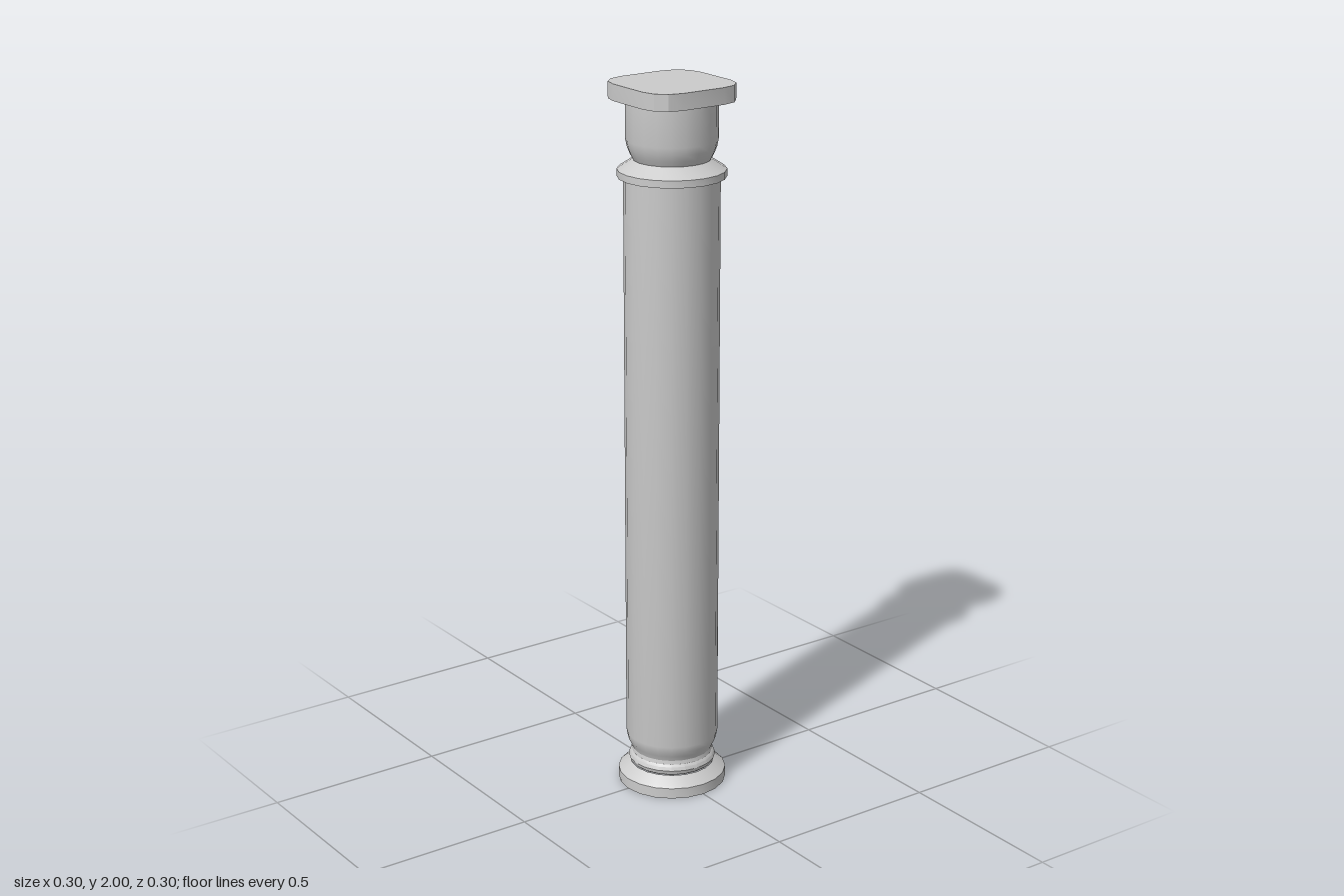
import * as THREE from 'three';
import { toCreasedNormals } from 'three/addons/utils/BufferGeometryUtils.js';

const SIDES = 20;
const material = new THREE.MeshStandardMaterial({ color: 0xcccccc });

function addMesh(group, name, geometry) {
  const mesh = new THREE.Mesh(toCreasedNormals(geometry, 0.5), material);
  mesh.name = name;
  group.add(mesh);
  return mesh;
}

// Turned part from [radius, height] pairs, listed bottom to top
function turned(group, name, profile) {
  const points = profile.map(([r, y]) => new THREE.Vector2(r, y));
  return addMesh(group, name, new THREE.LatheGeometry(points, SIDES));
}

export function createModel() {
  const column = new THREE.Group();
  column.name = 'column';

  // Round foot with a sloped top
  turned(column, 'base', [[0, 0], [0.152, 0], [0.152, 0.03], [0.145, 0.036], [0.118, 0.055]]);

  // Rounded ring above the foot
  turned(column, 'baseRing', [
    [0.114, 0.055], [0.12, 0.06], [0.123, 0.07], [0.12, 0.08], [0.114, 0.086],
  ]);

  // Shaft, flaring out from a narrow neck
  turned(column, 'shaft', [
    [0.114, 0.086], [0.112, 0.097], [0.118, 0.112], [0.126, 0.127], [0.129, 0.145], [0.129, 1.75],
  ]);

  // Collar with a flat underside and a sloped top
  turned(column, 'collar', [[0.129, 1.75], [0.146, 1.75], [0.146, 1.77], [0.104, 1.797]]);

  // Bell of the capital
  turned(column, 'capital', [
    [0.104, 1.797], [0.112, 1.812], [0.119, 1.83], [0.123, 1.85], [0.123, 1.957],
  ]);

  // Square top slab with softened corners
  const corner = [[0.141, 0.066], [0.131, 0.105], [0.105, 0.131], [0.066, 0.141]];
  const outline = [];
  for (let i = 0; i < 4; i++) {
    for (const [x, y] of corner) {
      outline.push(new THREE.Vector2(x, y).rotateAround(new THREE.Vector2(), i * Math.PI / 2));
    }
  }
  const slab = new THREE.ExtrudeGeometry(new THREE.Shape(outline), { depth: 0.045, bevelEnabled: false });
  slab.rotateX(-Math.PI / 2).translate(0, 1.955, 0);
  addMesh(column, 'topSlab', slab);

  return column;
}
